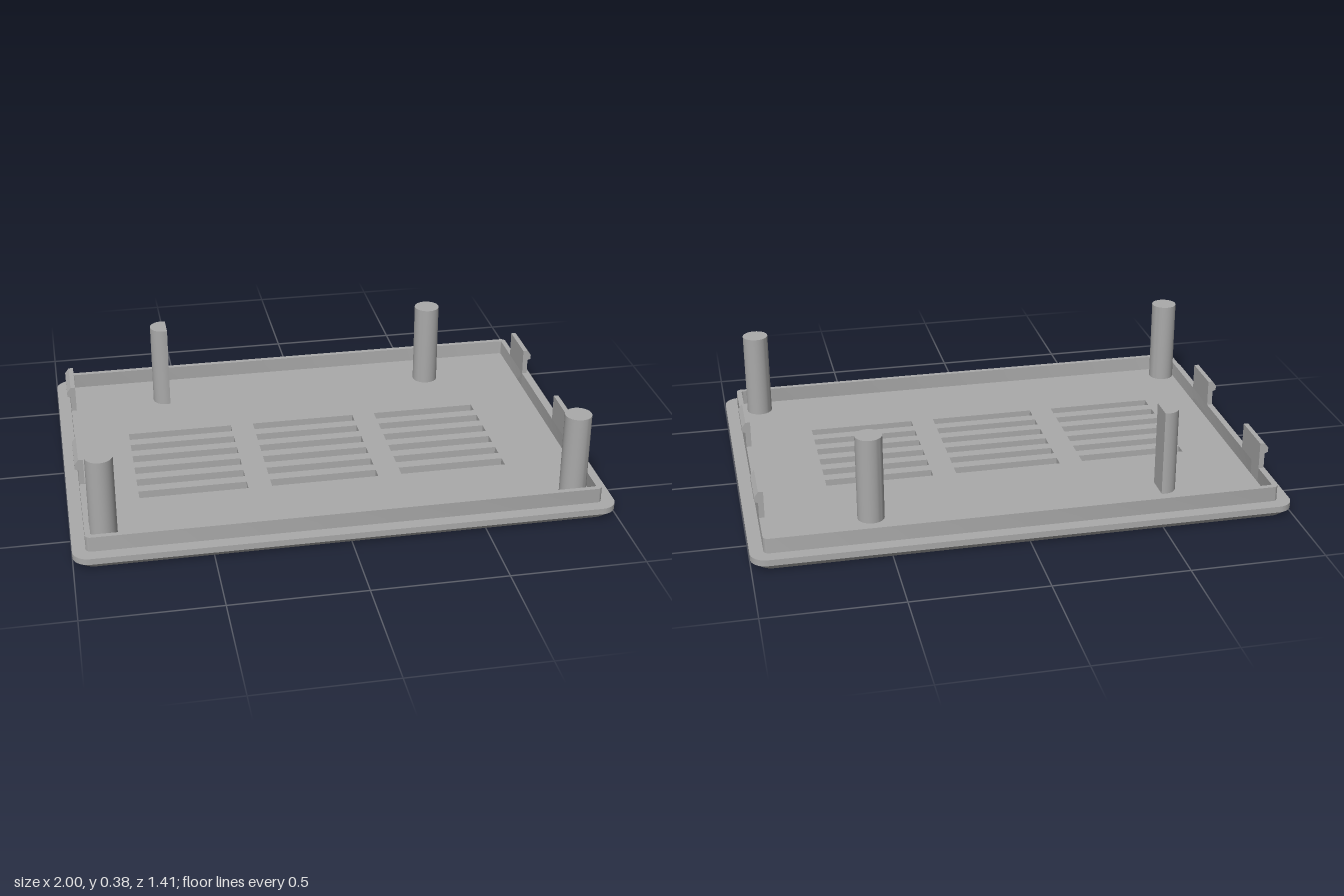
import * as THREE from 'three';
import { toCreasedNormals } from 'three/addons/utils/BufferGeometryUtils.js';

const PLATE_TOP = 0.047, LIP_TOP = 0.105, POST_TOP = 0.378;

// Rounded rectangle outline centred on the origin
function roundedRect(Type, hw, hh, r) {
  const s = new Type();
  s.absarc(hw - r, hh - r, r, 0, Math.PI / 2);
  s.absarc(-hw + r, hh - r, r, Math.PI / 2, Math.PI);
  s.absarc(-hw + r, -hh + r, r, Math.PI, Math.PI * 1.5);
  s.absarc(hw - r, -hh + r, r, Math.PI * 1.5, Math.PI * 2);
  s.closePath();
  return s;
}

// Extrude a plan shape (x, -z) upwards from height y
function extrudeUp(shape, y, depth, steps = 1) {
  const g = new THREE.ExtrudeGeometry(shape, { depth, steps, bevelEnabled: false, curveSegments: 10 });
  return g.rotateX(-Math.PI / 2).translate(0, y, 0);
}

export function createModel() {
  const root = new THREE.Group();
  root.name = 'ventedCover';
  const grey = new THREE.MeshStandardMaterial({ color: 0xaaaaaa });
  grey.name = 'grey plastic';

  function add(name, geometry) {
    const mesh = new THREE.Mesh(toCreasedNormals(geometry, 0.5), grey);
    mesh.name = name;
    root.add(mesh);
    return mesh;
  }

  // Base plate with three columns of vent slots
  const plate = roundedRect(THREE.Shape, 1, 0.703, 0.06);
  for (const x of [-0.53, -0.03, 0.47]) {
    for (let row = 0; row < 6; row++) {
      const z = -0.16 + row * 0.091, w = 0.205, h = 0.024;
      plate.holes.push(new THREE.Path([
        new THREE.Vector2(x - w, -z - h), new THREE.Vector2(x - w, -z + h),
        new THREE.Vector2(x + w, -z + h), new THREE.Vector2(x + w, -z - h),
      ]));
    }
  }
  const plateGeo = extrudeUp(plate, 0, PLATE_TOP, 2);
  // Chamfer: draw the lowest outer ring inwards, leaving the slots alone
  const p = plateGeo.attributes.position;
  for (let i = 0; i < p.count; i++) {
    const x = p.getX(i), z = p.getZ(i);
    if (p.getY(i) < 0.001 && (Math.abs(x) > 0.9 || Math.abs(z) > 0.6)) {
      p.setX(i, x * 0.977);
      p.setZ(i, z * 0.967);
    }
  }
  plateGeo.computeVertexNormals();
  add('basePlate', plateGeo);

  // Raised lip around the plate
  const lip = roundedRect(THREE.Shape, 0.951, 0.655, 0.02);
  lip.holes.push(roundedRect(THREE.Path, 0.931, 0.635, 0.008));
  add('lip', extrudeUp(lip, 0.04, LIP_TOP - 0.04));

  // Snap clips with an outward hook, two on each side
  const clip = new THREE.Shape([
    [0.931, 0.045], [0.951, 0.045], [0.951, 0.165], [0.964, 0.17],
    [0.964, 0.188], [0.949, 0.208], [0.931, 0.208],
  ].map(([x, y]) => new THREE.Vector2(x, y)));
  for (const z of [-0.405, 0.187]) {
    for (const side of [1, -1]) {
      const g = new THREE.ExtrudeGeometry(clip, { depth: 0.18, bevelEnabled: false });
      g.translate(0, 0, -0.09);
      if (side < 0) g.rotateY(Math.PI);
      g.translate(0, 0, z);
      add(side > 0 ? 'leftClip' : 'rightClip', g);
    }
  }

  // Round posts
  const postHeight = POST_TOP - 0.04;
  for (const [name, x, z] of [
    ['frontRightPost', -0.882, 0.566], ['frontLeftPost', 0.864, 0.566], ['backLeftPost', 0.546, -0.465],
  ]) {
    const g = new THREE.CylinderGeometry(0.05, 0.05, postHeight, 32);
    add(name, g.translate(x, 0.04 + postHeight / 2, z));
  }

  // Post with one flat side
  const cut = Math.acos(0.3);
  const dShape = new THREE.Shape();
  dShape.absarc(-0.56, 0.465, 0.05, cut, Math.PI * 2 - cut);
  dShape.closePath();
  add('backRightPost', extrudeUp(dShape, 0.04, postHeight));

  return root;
}
